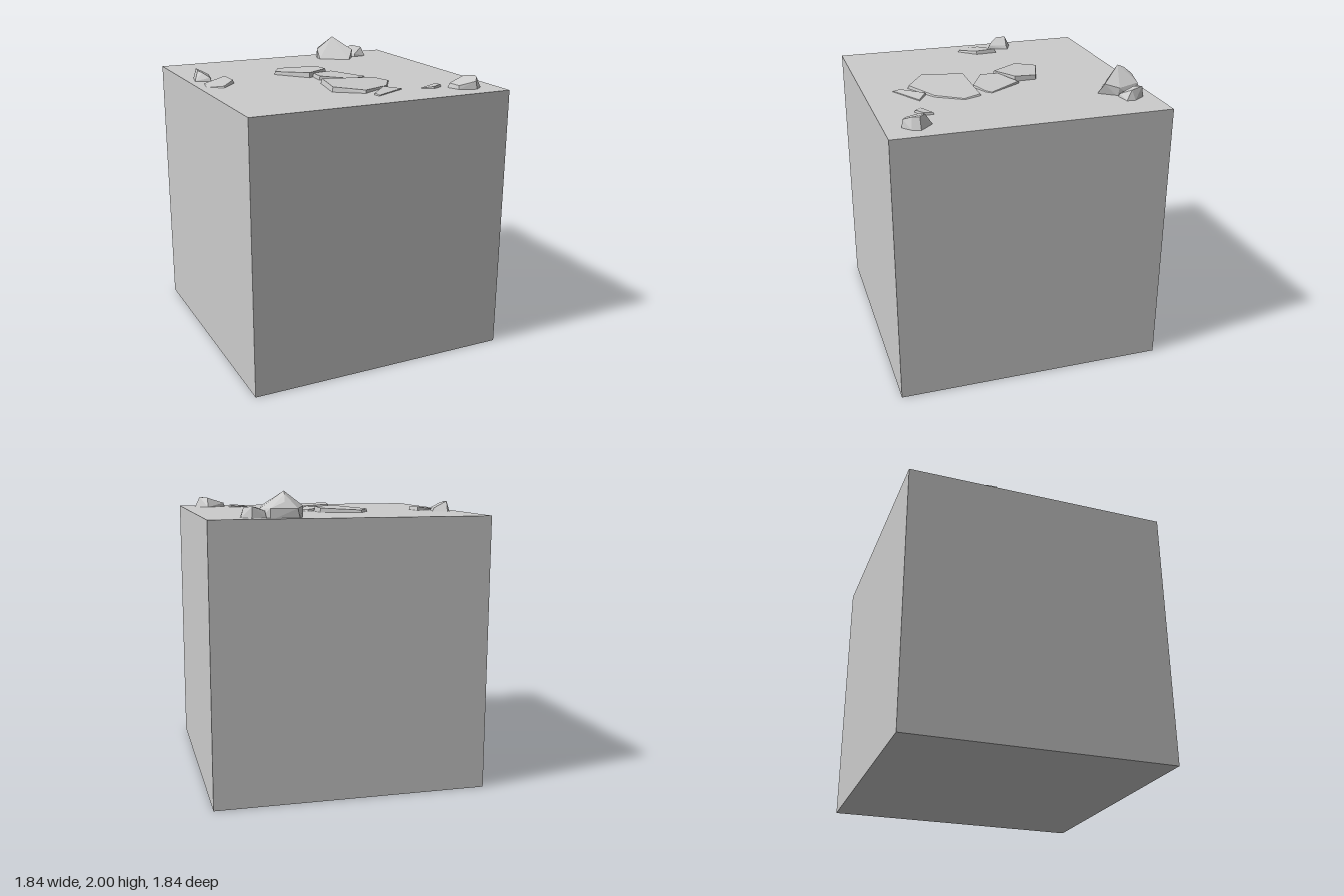
import * as THREE from 'three';
import { ConvexGeometry } from 'three/addons/geometries/ConvexGeometry.js';

const SIZE = 1.836; // cube edge, also the height of the ground surface
const SINK = 0.015; // how far the stones are bedded into the block

export function createModel() {
  const group = new THREE.Group();
  const material = new THREE.MeshStandardMaterial({ color: 0xcccccc, flatShading: true });

  const add = (name, geometry) => {
    const mesh = new THREE.Mesh(geometry, material);
    mesh.name = name;
    group.add(mesh);
    return mesh;
  };

  // Faceted stone: base outline [x, z] on the ground, crown points [x, height, z]
  const stone = (name, base, crown) => add(name, new ConvexGeometry([
    ...base.map(([x, z]) => new THREE.Vector3(x, SIZE - SINK, z)),
    ...base.map(([x, z]) => new THREE.Vector3(x, SIZE, z)),
    ...crown.map(([x, h, z]) => new THREE.Vector3(x, SIZE + h, z)),
  ]));

  // Flat slab: outline [x, z] with a tilted top, height h + sx * x + sz * z, slightly inset
  const slab = (name, outline, h, sx, sz, inset = 0.97) => {
    const cx = outline.reduce((s, p) => s + p[0], 0) / outline.length;
    const cz = outline.reduce((s, p) => s + p[1], 0) / outline.length;
    const crown = outline.map(([x, z]) => {
      const tx = cx + (x - cx) * inset, tz = cz + (z - cz) * inset;
      return [tx, Math.max(0.002, h + sx * (tx - cx) + sz * (tz - cz)), tz];
    });
    return stone(name, outline, crown);
  };

  // Ground block
  add('groundBlock', new THREE.BoxGeometry(SIZE, SIZE, SIZE)).position.y = SIZE / 2;

  // Path of paving slabs
  slab('backSlab', [[-0.2, -0.39], [0.07, -0.29], [0.075, -0.135], [-0.1, -0.03], [-0.28, -0.25]],
    0.028, 0.03, 0.04);
  slab('middleSlab', [[0.12, -0.15], [0.27, 0.09], [0.24, 0.125], [0.11, 0.18], [-0.075, 0.075], [-0.065, -0.055]],
    0.016, -0.07, 0);
  slab('largeSlab', [[-0.115, 0.185], [0.3, 0.175], [0.35, 0.3], [0.24, 0.48], [0.01, 0.61], [-0.17, 0.48]],
    0.019, -0.06, -0.015);
  slab('frontSlab', [[0.185, 0.525], [0.29, 0.59], [0.05, 0.72], [0.04, 0.67]],
    0.01, -0.05, -0.1);
  slab('sideSlab', [[-0.66, -0.225], [-0.65, -0.07], [-0.76, 0.05], [-0.865, -0.01], [-0.84, -0.135]],
    0.014, 0.11, -0.03, 0.93);
  slab('smallShard', [[0.565, 0.56], [0.57, 0.63], [0.49, 0.67], [0.415, 0.615]],
    0.012, 0.1, 0.08, 0.9);

  // Large pointed rock with a smaller one beside it
  stone('largeRock',
    [[0.34, -0.88], [0.52, -0.85], [0.565, -0.77], [0.565, -0.69], [0.485, -0.58], [0.295, -0.71], [0.295, -0.765]],
    [[0.415, 0.164, -0.745], [0.42, 0.145, -0.79], [0.295, 0.07, -0.765], [0.43, 0.1, -0.845],
      [0.355, 0.06, -0.885], [0.52, 0.06, -0.85], [0.565, 0.05, -0.7], [0.525, 0.074, -0.61]]);
  stone('rockBesideLarge',
    [[0.54, -0.83], [0.635, -0.84], [0.69, -0.76], [0.685, -0.7], [0.585, -0.685]],
    [[0.55, 0.045, -0.82], [0.63, 0.072, -0.83], [0.6, 0.066, -0.78], [0.67, 0.065, -0.74], [0.59, 0.02, -0.69]]);

  // Rock by the left-hand slab
  stone('sideRock',
    [[-0.825, -0.385], [-0.73, -0.34], [-0.77, -0.195], [-0.87, -0.25], [-0.845, -0.37]],
    [[-0.83, 0.072, -0.35], [-0.84, 0.068, -0.28], [-0.815, 0.055, -0.25], [-0.745, 0.025, -0.335], [-0.775, 0.025, -0.205]]);

  // Rock near the front corner
  stone('cornerRock',
    [[0.73, 0.61], [0.82, 0.7], [0.8, 0.755], [0.74, 0.805], [0.625, 0.76], [0.595, 0.675]],
    [[0.73, 0.07, 0.655], [0.785, 0.074, 0.7], [0.77, 0.073, 0.745], [0.735, 0.052, 0.795],
      [0.63, 0.025, 0.755], [0.605, 0.03, 0.675]]);

  return group;
}
